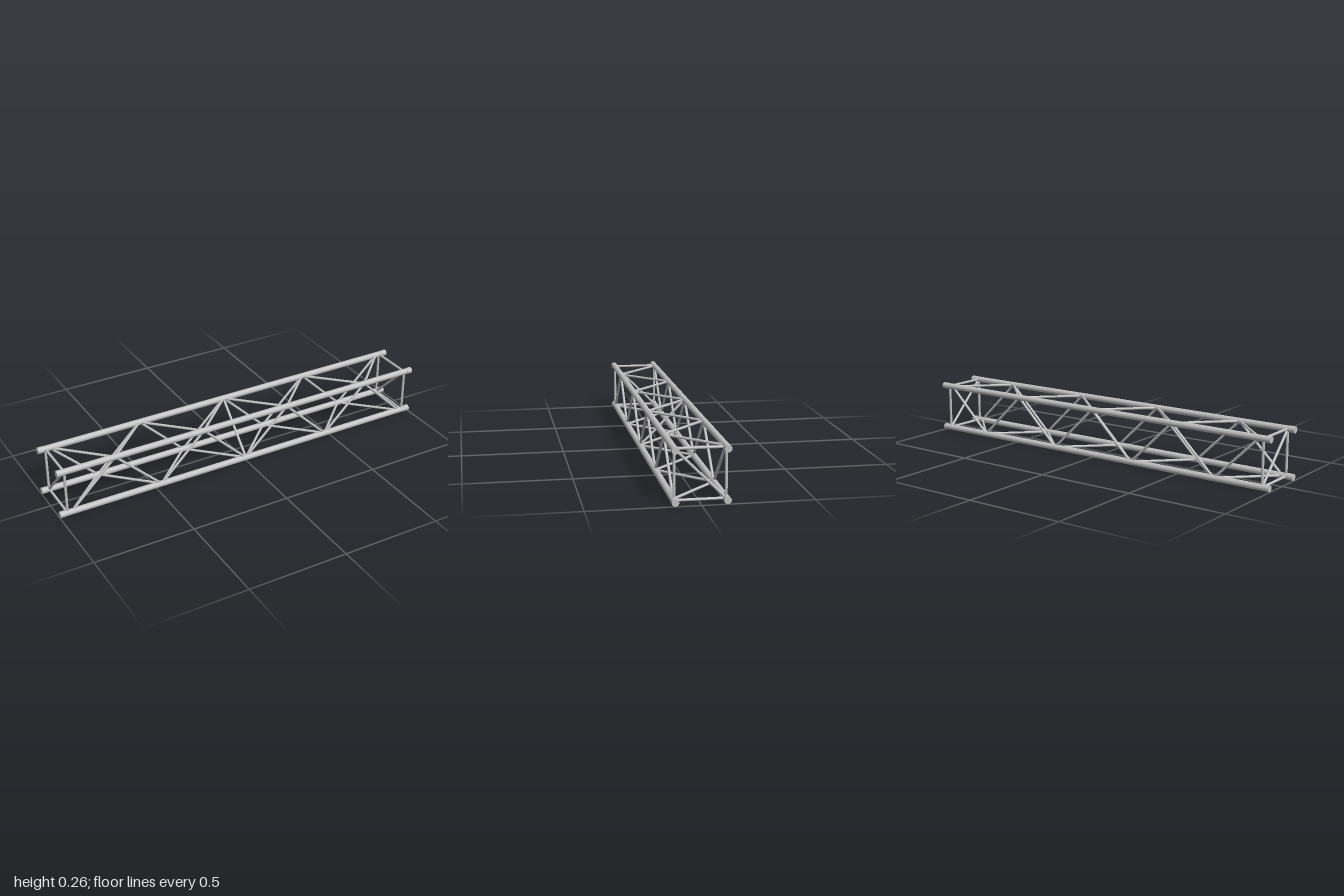
import * as THREE from 'three';

const H = 0.1135;          // half spacing between chord axes
const COLLAR_R = 0.0163;   // collar radius, rests on y = 0
const CHORD_R = 0.0153;
const BRACE_R = 0.0064;
const MID_Y = COLLAR_R + H;
const END_X = 0.96;        // end frames
const NODE_X = 0.94;       // outermost lacing nodes
const BAYS = 8;

export function createModel() {
  const model = new THREE.Group();
  const metal = new THREE.MeshStandardMaterial({ color: 0xc0c0c0 });
  metal.name = 'aluminium grey';

  // Point on a chord axis: sy and sz are -1 or 1
  const at = (x, [sy, sz]) => new THREE.Vector3(x, MID_Y + sy * H, sz * H);

  // Round bar between two points
  const bar = (name, a, b, r, sides = 16) => {
    const dir = b.clone().sub(a);
    const mesh = new THREE.Mesh(new THREE.CylinderGeometry(r, r, dir.length(), sides), metal);
    mesh.position.copy(a).add(b).multiplyScalar(0.5);
    mesh.quaternion.setFromUnitVectors(new THREE.Vector3(0, 1, 0), dir.normalize());
    mesh.name = name;
    model.add(mesh);
  };

  // Chords in order around the square section
  const corners = [[-1, 1], [1, 1], [1, -1], [-1, -1]];
  const [bottomFront, topFront, topBack, bottomBack] = corners;

  corners.forEach((c, i) => {
    const next = corners[(i + 1) % 4];

    // Main tube with a collar at each end
    bar('chord', at(-0.975, c), at(0.975, c), CHORD_R, 32);
    for (const s of [-1, 1]) {
      bar('endCollar', at(s * 0.972, c), at(s, c), COLLAR_R, 32);
      bar('endFrameBar', at(s * END_X, c), at(s * END_X, next), BRACE_R);
    }

    // Zigzag lacing: even nodes on bottom front and top back, odd on the others
    const even = i % 2 === 0 ? c : next;
    const odd = i % 2 === 0 ? next : c;
    const step = (2 * NODE_X) / BAYS;
    for (let k = 0; k < BAYS; k++) {
      const x = -NODE_X + k * step;
      const [from, to] = k % 2 === 0 ? [even, odd] : [odd, even];
      bar('lacingBar', at(x, from), at(x + step, to), BRACE_R);
    }
  });

  // Diagonals across the section at both ends and at the middle
  for (const s of [-1, 1]) {
    bar('endDiagonal', at(s * END_X, topFront), at(s * END_X, bottomBack), BRACE_R);
  }
  bar('middleDiagonal', at(0, topBack), at(0, bottomFront), BRACE_R);

  return model;
}
